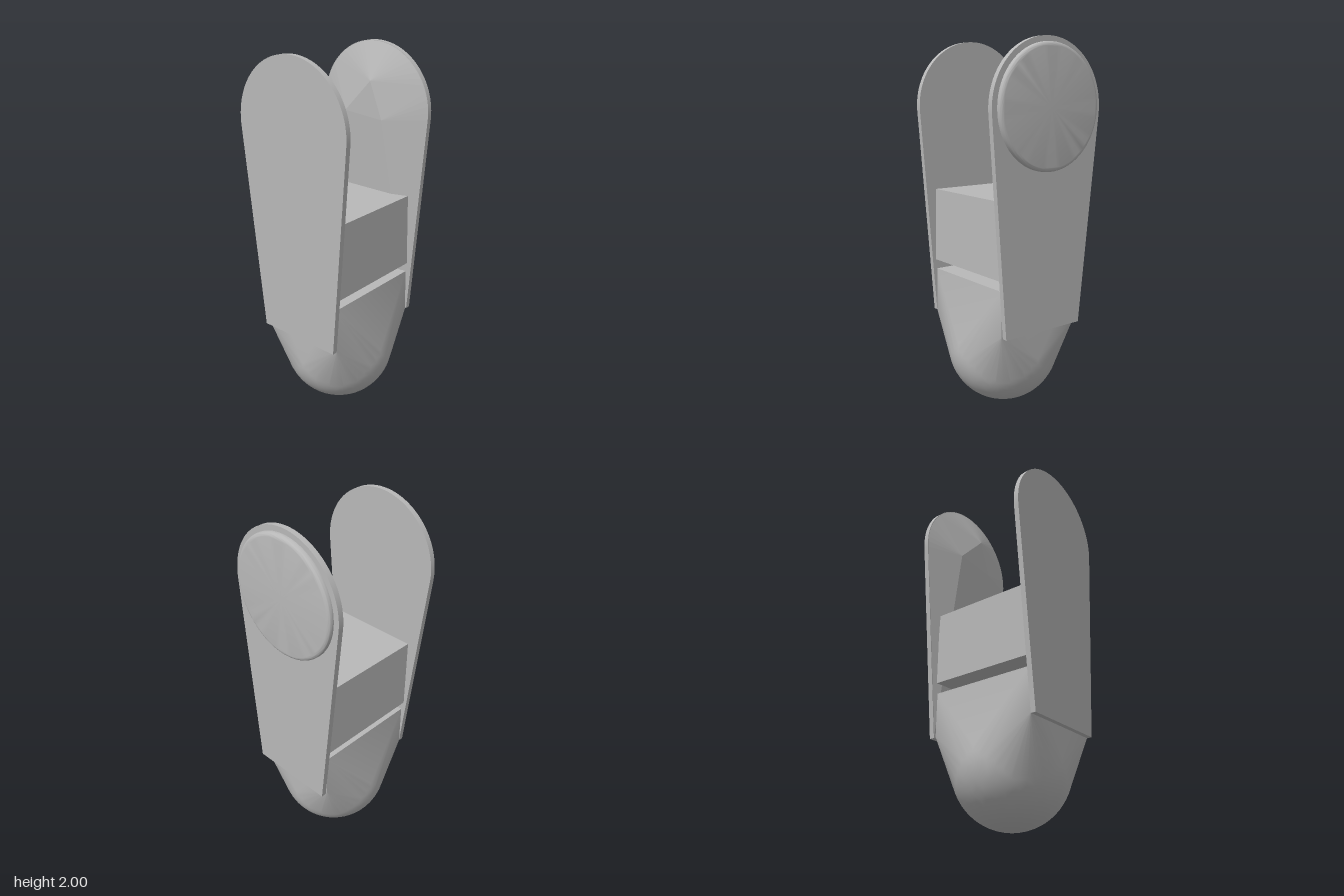
import * as THREE from 'three';
import { toCreasedNormals } from 'three/addons/utils/BufferGeometryUtils.js';
import { ConvexGeometry } from 'three/addons/geometries/ConvexGeometry.js';

const V = (x, y, z) => new THREE.Vector3(x, y, z);

export function createModel() {
  const model = new THREE.Group();
  const grey = new THREE.MeshStandardMaterial({ color: 0xb8b8b8 });
  grey.name = 'plain grey';

  const add = (name, geometry) => {
    const mesh = new THREE.Mesh(geometry, grey);
    mesh.name = name;
    model.add(mesh);
    return mesh;
  };

  // Tapered plate outline with a round top
  const outline = new THREE.Shape();
  outline.moveTo(-0.23, 0.485);
  outline.lineTo(0.268, 0.485);
  outline.absarc(0, 1.647, 0.353, -0.07, Math.PI + 0.105, false);
  outline.closePath();

  const plate = (name, z, depth) => {
    const g = new THREE.ExtrudeGeometry(outline, { depth, bevelEnabled: false, curveSegments: 48 });
    add(name, toCreasedNormals(g, 0.5)).position.z = z;
  };
  plate('frontPlate', 0.327, 0.029);
  plate('backPlate', -0.329, 0.029);

  // Faceted swelling on the inner side of the back plate
  const rim = outline.getPoints(16).map(p => V(p.x, p.y, -0.301));
  const swelling = new ConvexGeometry([
    ...rim, V(0.03, 1.8, -0.222), V(-0.14, 1.62, -0.222), V(0.11, 1.6, -0.222),
  ]);
  add('backSwelling', swelling);

  // Round pad with a rolled edge on the outer side of the back plate
  const profile = [new THREE.Vector2(0, 0)];
  profile.push(new THREE.Vector2(0.322, 0));
  for (let i = 0; i <= 8; i++) {
    const a = (i / 8) * Math.PI / 2;
    profile.push(new THREE.Vector2(0.298 + 0.024 * Math.cos(a), 0.011 + 0.018 * Math.sin(a)));
  }
  profile.push(new THREE.Vector2(0, 0.029));
  const pad = add('backPad', toCreasedNormals(new THREE.LatheGeometry(profile, 64), 0.5));
  pad.rotation.x = -Math.PI / 2;
  pad.position.set(0, 1.65, -0.328);

  // Cross block between the plates, a little wider at its base
  const block = [];
  for (const z of [-0.283, 0.328]) {
    block.push(V(-0.244, 1.19, z), V(0.26, 1.19, z), V(-0.244, 0.785, z), V(0.271, 0.785, z));
  }
  add('crossBlock', new ConvexGeometry(block));

  // Rounded foot: a ball blended into a box
  const foot = [];
  for (const z of [-0.288, 0.328]) {
    foot.push(V(-0.23, 0.73, z), V(0.262, 0.73, z), V(-0.23, 0.487, z), V(0.268, 0.487, z));
  }
  const c = V(0.022, 0.312, 0.02), r = 0.311;
  const rings = 16, sides = 48;
  for (let i = -4; i < rings; i++) {
    const a = (i / rings) * Math.PI / 2;
    for (let j = 0; j < sides; j++) {
      const b = (j / sides) * Math.PI * 2;
      foot.push(V(c.x + r * Math.cos(a) * Math.cos(b), c.y - r * Math.sin(a), c.z + r * Math.cos(a) * Math.sin(b)));
    }
  }
  foot.push(V(c.x, c.y - r, c.z));
  add('foot', toCreasedNormals(new ConvexGeometry(foot), 0.6));

  return model;
}
